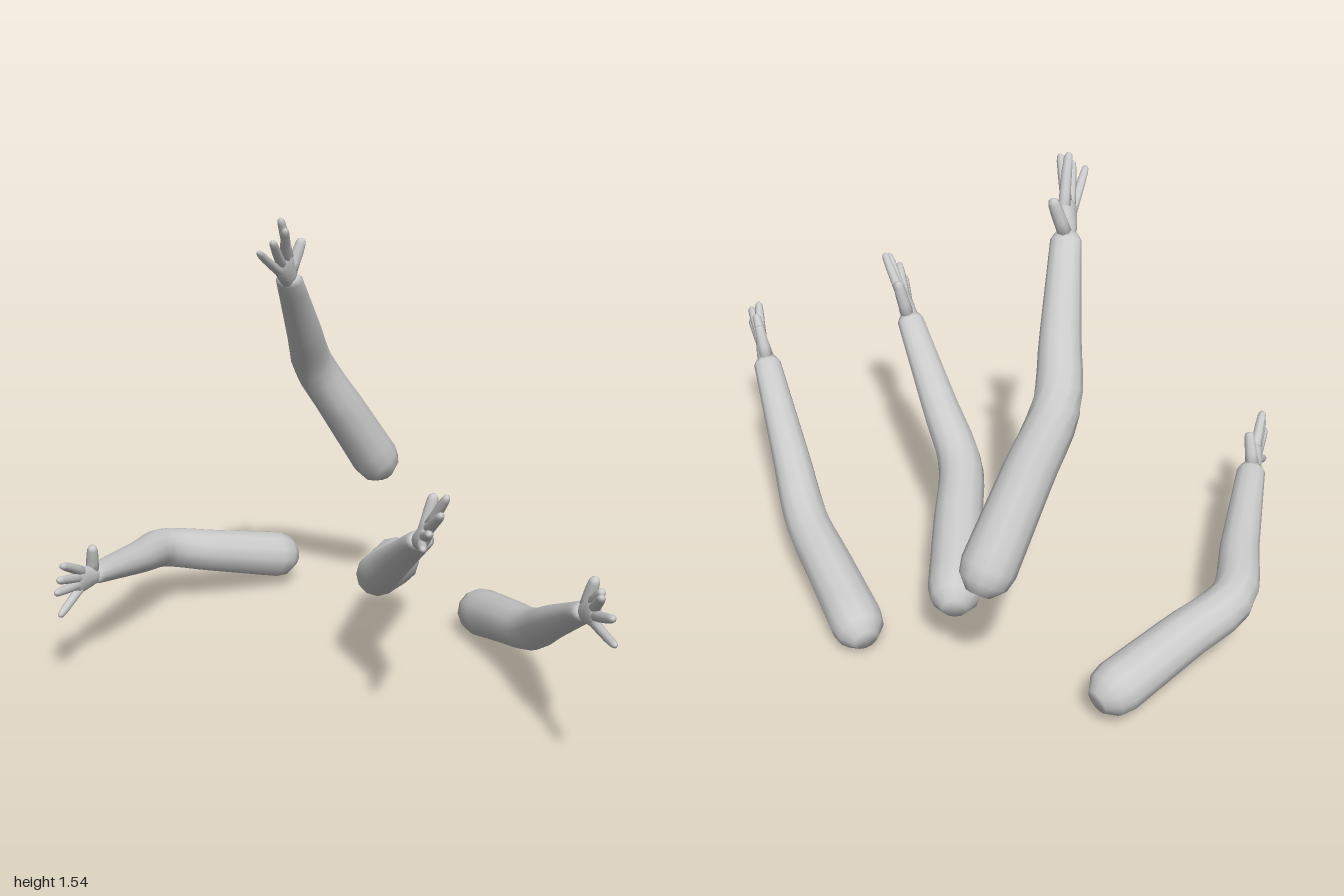
import * as THREE from 'three';

const V = (p) => new THREE.Vector3(...p);
const UP = new THREE.Vector3(0, 1, 0);
const material = new THREE.MeshStandardMaterial({ color: 0xcccccc });

// Closed smooth skin over elliptical rings { c: centre, u, v: half axes }, u x v pointing forward
function loft(name, rings, sides) {
  const pos = [], index = [], n = rings.length;
  for (const { c, u, v } of rings) {
    for (let j = 0; j < sides; j++) {
      const a = (j / sides) * Math.PI * 2;
      const p = c.clone().addScaledVector(u, Math.cos(a)).addScaledVector(v, Math.sin(a));
      pos.push(p.x, p.y, p.z);
    }
  }
  const first = n * sides, last = first + 1;
  pos.push(...rings[0].c.toArray(), ...rings[n - 1].c.toArray());
  for (let j = 0; j < sides; j++) {
    const k = (j + 1) % sides, end = (n - 1) * sides;
    for (let i = 0; i < n - 1; i++) {
      const a = i * sides + j, b = i * sides + k;
      index.push(a, b, b + sides, a, b + sides, a + sides);
    }
    index.push(first, k, j, last, end + j, end + k);
  }
  const geo = new THREE.BufferGeometry();
  geo.setAttribute('position', new THREE.Float32BufferAttribute(pos, 3));
  geo.setIndex(index);
  geo.computeVertexNormals();
  const mesh = new THREE.Mesh(geo, material);
  mesh.name = name;
  return mesh;
}

// Ring square to direction t, its wide axis lying level
function ringAt(c, t, wide, thin = wide) {
  const u = UP.clone().cross(t).normalize();
  const v = t.clone().cross(u).normalize();
  return { c, u: u.multiplyScalar(wide), v: v.multiplyScalar(thin) };
}

// Rounded shoulder stump, soft elbow, flattened wrist
function armMesh(S, E, W) {
  const curve = new THREE.CatmullRomCurve3(
    [S, S.clone().lerp(E, 0.55), E, E.clone().lerp(W, 0.4), W], false, 'centripetal');
  const elbow = S.distanceTo(E) / (S.distanceTo(E) + E.distanceTo(W));
  const mix = THREE.MathUtils.lerp;
  const t0 = curve.getTangentAt(0), t1 = curve.getTangentAt(1);
  const rings = [[-0.082, 0.04], [-0.045, 0.075]].map(([d, r]) =>
    ringAt(S.clone().addScaledVector(t0, d), t0, r));
  for (let i = 0; i <= 18; i++) {
    const s = i / 18;
    const k = Math.max(0, (s - elbow) / (1 - elbow));
    const r = mix(0.085, 0.072, Math.min(1, s / elbow));
    rings.push(ringAt(curve.getPointAt(s), curve.getTangentAt(s), mix(r, 0.046, k), mix(r, 0.033, k)));
  }
  rings.push(ringAt(W.clone().addScaledVector(t1, 0.02), t1, 0.034, 0.027));
  return loft('arm', rings, 12);
}

// Tapered finger with a slight bow and a rounded tip
function finger(name, base, tip, bow, r) {
  const mid = base.clone().lerp(tip, 0.5).add(bow);
  const curve = new THREE.QuadraticBezierCurve3(base, mid, tip);
  const steps = [[0, 1], [0.3, 0.92], [0.6, 0.86], [0.85, 0.76], [0.95, 0.62], [1, 0.3]];
  return loft(name, steps.map(([s, k]) => ringAt(curve.getPoint(s), curve.getTangent(s), r * k)), 8);
}

// Palm, four fingers and thumb; tips run from little finger to index
function handGroup(W, tips, thumbTip) {
  const hand = new THREE.Group();
  hand.name = 'hand';
  const mean = tips.reduce((s, p) => s.add(p), new THREE.Vector3()).divideScalar(4);
  const d = mean.sub(W).normalize();
  const w = tips[3].clone().sub(tips[0]);
  w.addScaledVector(d, -w.dot(d)).normalize();
  const n = d.clone().cross(w);
  const at = (along, across) => W.clone().addScaledVector(d, along).addScaledVector(w, across);

  const palm = [[-0.03, 0.024, 0.022], [0, 0.031, 0.028], [0.04, 0.038, 0.028],
    [0.08, 0.046, 0.023], [0.11, 0.043, 0.019], [0.122, 0.032, 0.011]];
  hand.add(loft('palm', palm.map(([s, wide, thick]) => ({
    c: at(s, 0), u: w.clone().multiplyScalar(wide), v: n.clone().multiplyScalar(thick),
  })), 12));

  const names = ['littleFinger', 'ringFinger', 'middleFinger', 'indexFinger'];
  tips.forEach((tip, i) => {
    const across = (i - 1.5) * 0.021;
    const bow = d.clone().multiplyScalar(0.01).addScaledVector(w, across * 0.25);
    hand.add(finger(names[i], at(0.095, across), tip, bow, i ? 0.018 : 0.016));
  });
  hand.add(finger('thumb', at(0.022, 0.018), thumbTip, w.clone().multiplyScalar(0.006), 0.023));
  return hand;
}

// Joints: shoulder, elbow, wrist
const ARMS = [
  { name: 'lowRightArm',
    joints: [[0.11, 0.125, -0.915], [-0.33, 0.235, -0.8], [-0.645, 0.34, -0.345]],
    tips: [[-0.787, 0.262, -0.19], [-0.8, 0.357, -0.16], [-0.79, 0.4, -0.16], [-0.775, 0.443, -0.18]],
    thumb: [-0.658, 0.458, -0.295] },
  { name: 'raisedArm',
    joints: [[0.445, 0.54, -0.735], [0.18, 0.945, -0.61], [0.025, 1.315, -0.325]],
    tips: [[-0.118, 1.452, -0.15], [-0.07, 1.48, -0.155], [-0.025, 1.515, -0.17], [-0.03, 1.54, -0.22]],
    thumb: [0.067, 1.452, -0.32] },
  { name: 'middleArm',
    joints: [[0.435, 0.25, -0.43], [0.245, 0.385, 0], [0.233, 0.68, 0.475]],
    tips: [[0.175, 0.735, 0.69], [0.19, 0.785, 0.7], [0.23, 0.835, 0.685], [0.265, 0.87, 0.63]],
    thumb: [0.27, 0.83, 0.49] },
  { name: 'leftArm',
    joints: [[0.71, 0.09, -0.27], [0.73, 0.2, 0.15], [0.683, 0.495, 0.7]],
    tips: [[0.655, 0.512, 0.995], [0.66, 0.58, 0.96], [0.645, 0.625, 0.905], [0.675, 0.615, 0.84]],
    thumb: [0.69, 0.62, 0.75] },
];

export function createModel() {
  const model = new THREE.Group();
  model.name = 'reachingArms';
  for (const { name, joints, tips, thumb } of ARMS) {
    const group = new THREE.Group();
    group.name = name;
    const [S, E, W] = joints.map(V);
    group.add(armMesh(S, E, W), handGroup(W, tips.map(V), V(thumb)));
    model.add(group);
  }
  return model;
}
